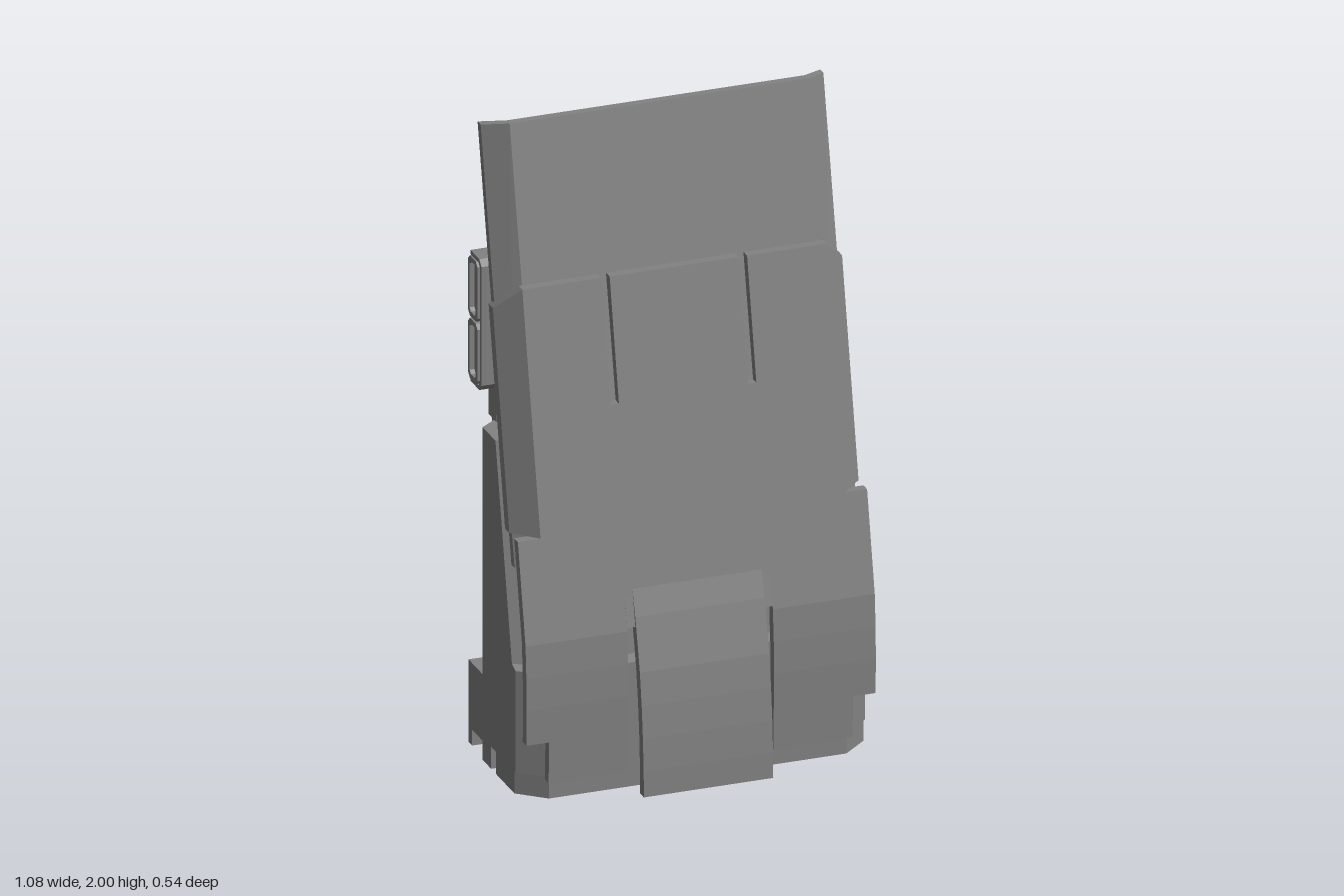
import * as THREE from 'three';

const mat = new THREE.MeshStandardMaterial({ color: 0x828282, side: THREE.DoubleSide });

export function createModel() {
  const root = new THREE.Group();

  function add(name, geo) {
    const m = new THREE.Mesh(geo, mat);
    m.name = name;
    root.add(m);
    return m;
  }
  // side profile [z, y] swept across x0..x1, optionally moved by a rule (z, y, |x|) => [z, y]
  function strip(name, pts, x0, x1, warp, hole) {
    const shape = new THREE.Shape(pts.map(p => new THREE.Vector2(p[0], p[1])));
    if (hole) shape.holes.push(new THREE.Path(hole.map(p => new THREE.Vector2(p[0], p[1]))));
    const g = new THREE.ExtrudeGeometry(shape, { depth: x1 - x0, bevelEnabled: false });
    g.rotateY(-Math.PI / 2).translate(x1, 0, 0);
    if (warp) {
      const p = g.attributes.position;
      for (let i = 0; i < p.count; i++) {
        const [z, y] = warp(p.getZ(i), p.getY(i), Math.abs(p.getX(i)));
        p.setY(i, y); p.setZ(i, z);
      }
      g.computeVertexNormals();
    }
    return add(name, g);
  }
  function pair(name, pts, x0, x1, warp, hole) {
    strip(name + 'Left', pts, x0, x1, warp, hole);
    strip(name + 'Right', pts, -x1, -x0, warp, hole);
  }
  const rect = (z0, z1, y0, y1) => [[z0, y0], [z1, y0], [z1, y1], [z0, y1]];
  const cutRect = (z0, z1, y0, y1, c) => [[z0 + c, y0], [z1 - c, y0], [z1, y0 + c], [z1, y1 - c],
    [z1 - c, y1], [z0 + c, y1], [z0, y1 - c], [z0, y0 + c]];
  // thin sheet following a front line [z, y] from bottom to top
  const sheet = (line, t) => [...line, ...line.slice().reverse().map(p => [p[0] - t, p[1]])];

  // front cover: bulging middle tongue, straighter sides, slots between
  const slant = y => -0.01 + 0.205 * (1.53 - y);
  const at = y => [slant(y), y];
  const tongue = [[0.27, 0], [0.268, 0.08], [0.262, 0.18], [0.252, 0.28], [0.237, 0.38], [0.219, 0.46], [0.2, 0.54], at(0.62)];
  const sideLine = [[0.208, 0.19], [0.21, 0.3], [0.208, 0.4], [0.201, 0.5], at(0.6)];
  strip('coverTongue', sheet([...tongue, at(1.53)], 0.03), -0.2, 0.2);
  pair('coverBridge', sheet([[0.2, 0.51], at(0.6), at(1.16)], 0.03), 0.2, 0.225);
  pair('coverSide', sheet([[0.205, 0.06], ...sideLine, at(1.53)], 0.03), 0.225, 0.47);
  pair('coverEar', sheet([...sideLine, at(0.805)], 0.03), 0.47, 0.54);
  pair('coverFlange', sheet([at(0.805), at(1.53)], 0.035), 0.47, 0.54,
    (z, y, x) => [z - (x - 0.47) * (y > 1 ? 0.8 : 1), y > 1 ? y - (x - 0.47) : y]);

  // upper front panel with folded sides, its foot tucked behind the cover
  const upper = y => [-0.14 + 0.213 * (2 - y), y];
  strip('upperPanel', sheet([[0.165, 0.45], upper(0.7), upper(2)], 0.025), -0.46, 0.46);
  pair('upperFlange', sheet([upper(0.7), upper(2)], 0.025), 0.46, 0.53,
    (z, y, x) => [z - (x - 0.46) * 0.75, y > 1 ? y - (x - 0.46) * 0.2 : y]);

  // wedge-shaped body
  strip('bodyCore', [[0.18, 0.06], [0.18, 0.39], [0.14, 0.4], [0.1, 0.76], [-0.15, 1.73], [-0.215, 1.73], [-0.215, 0.06]], -0.46, 0.46);
  pair('bodyCheek', [[0.18, 0.07], [0.18, 0.39], [0.125, 0.4], [-0.01, 1.05], [-0.21, 1.05], [-0.21, 0.27], [-0.21, 0.07]],
    0.46, 0.54, (z, y, x) => {
      if (x < 0.5) return [z, y];
      if (z > -0.1) return [z - (y < 0.395 ? 0.06 : 0.035), y];
      return [y > 0.2 ? -0.15 : z, y];
    });

  // hollow foot: front rim, side feet and rear bar
  const rim = new THREE.Shape();
  [[-0.54, 0.04], [-0.54, -0.11], [-0.46, -0.18], [0.46, -0.18], [0.54, -0.11], [0.54, 0.04],
    [0.5, 0.04], [0.5, -0.09], [0.44, -0.145], [-0.44, -0.145], [-0.5, -0.09], [-0.5, 0.04]]
    .forEach((p, i) => (i ? rim.lineTo(p[0], p[1]) : rim.moveTo(p[0], p[1])));
  add('frontRim', new THREE.ExtrudeGeometry(rim, { depth: 0.075, bevelEnabled: false }).rotateX(-Math.PI / 2));
  pair('footSide', rect(-0.2, -0.08, 0, 0.075), 0.46, 0.54,
    (z, y, x) => [x > 0.5 && z < -0.15 ? -0.15 : z, y]);
  strip('footRear', rect(-0.2, -0.165, 0, 0.075), -0.46, 0.46);
  for (let i = 0; i < 6; i++) {
    const z = 0.11 - i * 0.043;
    strip('bottomSlat' + (i + 1), [[z - 0.014, 0.065], [z - 0.008, 0.03], [z + 0.008, 0.03], [z + 0.014, 0.065]], -0.22, 0.22);
  }

  // back: lower blocks, ledges and side rails
  pair('rearBlock', [[-0.15, 0.06], [-0.2, 0.06], [-0.235, 0.06], [-0.235, 0.01], [-0.265, 0.01], [-0.265, 0.27], [-0.15, 0.27]], 0.2, 0.47);
  pair('rearBlockEnd', [[-0.15, 0.06], [-0.235, 0.06], [-0.235, 0.01], [-0.265, 0.01], [-0.265, 0.27], [-0.15, 0.27]], 0.47, 0.54);
  strip('rearApron', [[-0.2, 0.02], [-0.247, 0.02], [-0.247, 0.42], [-0.225, 0.47], [-0.2, 0.47]], -0.2, 0.2);
  pair('rearLedge', [[-0.2, 0.27], [-0.265, 0.27], [-0.265, 0.39], [-0.235, 0.43], [-0.235, 0.78], [-0.2, 0.78]], 0.2, 0.37);
  pair('rearRail', rect(-0.258, -0.2, 0.27, 1.58), 0.37, 0.47);
  pair('railStep', rect(-0.235, -0.17, 1.05, 1.7), 0.45, 0.49);

  // small raised frames around the catch windows
  for (const s of [-1, 1]) {
    const f = new THREE.Shape([[-0.035, -0.035], [0.035, -0.035], [0.035, 0.035], [-0.035, 0.035]].map(p => new THREE.Vector2(...p)));
    f.holes.push(new THREE.Path([[-0.024, -0.024], [0.024, -0.024], [0.024, 0.024], [-0.024, 0.024]].map(p => new THREE.Vector2(...p))));
    add('catchWindow', new THREE.ExtrudeGeometry(f, { depth: 0.008, bevelEnabled: false })).position.set(s * 0.28, 0.33, -0.268);
  }

  // two rounded grip bars in the rear recess
  for (const s of [-1, 1]) {
    add('gripBar', new THREE.CapsuleGeometry(0.045, 0.36, 8, 20)).position.set(s * 0.075, 0.465, -0.225);
  }

  // sliding back plate and top band with notches
  strip('backPlate', [[-0.2, 0.74], [-0.248, 0.74], [-0.268, 0.9], [-0.268, 1.54], [-0.2, 1.54]], -0.37, 0.37);
  strip('topBandLower', rect(-0.265, -0.2, 1.56, 1.66), -0.46, 0.46);
  pair('topBandOuter', rect(-0.265, -0.235, 1.66, 1.73), 0.2, 0.46);
  strip('topBandMiddle', rect(-0.265, -0.235, 1.66, 1.73), -0.15, 0.15);

  // lip sloping forward to the panel, braced by four ribs
  strip('topLip', [[-0.09, 1.6], [-0.215, 1.66], [-0.215, 1.73], [-0.145, 1.87], [-0.12, 1.87]], -0.41, 0.41);
  for (const x of [-0.37, -0.13, 0.13, 0.37]) {
    strip('topRib', [[-0.15, 1.72], [-0.15, 1.83], [-0.2, 1.845], [-0.21, 1.84], [-0.236, 1.75], [-0.262, 1.72], [-0.262, 1.68], [-0.2, 1.68]],
      x - 0.014, x + 0.014);
  }

  // side latches: two rounded loops each, held by a bracket
  for (const y of [1.163, 1.36]) {
    pair('latchLoop', cutRect(-0.268, -0.192, y, y + 0.19, 0.014), 0.37, 0.54, null,
      cutRect(-0.256, -0.206, y + 0.015, y + 0.175, 0.01));
    pair('latchCore', rect(-0.258, -0.204, y + 0.012, y + 0.178), 0.37, 0.525);
  }
  pair('latchBracket', [[-0.172, 1.17], [-0.19, 1.15], [-0.262, 1.15], [-0.262, 1.163], [-0.195, 1.163], [-0.184, 1.18],
    [-0.184, 1.535], [-0.195, 1.55], [-0.262, 1.55], [-0.262, 1.563], [-0.19, 1.563], [-0.172, 1.545]], 0.46, 0.535);

  return root;
}
